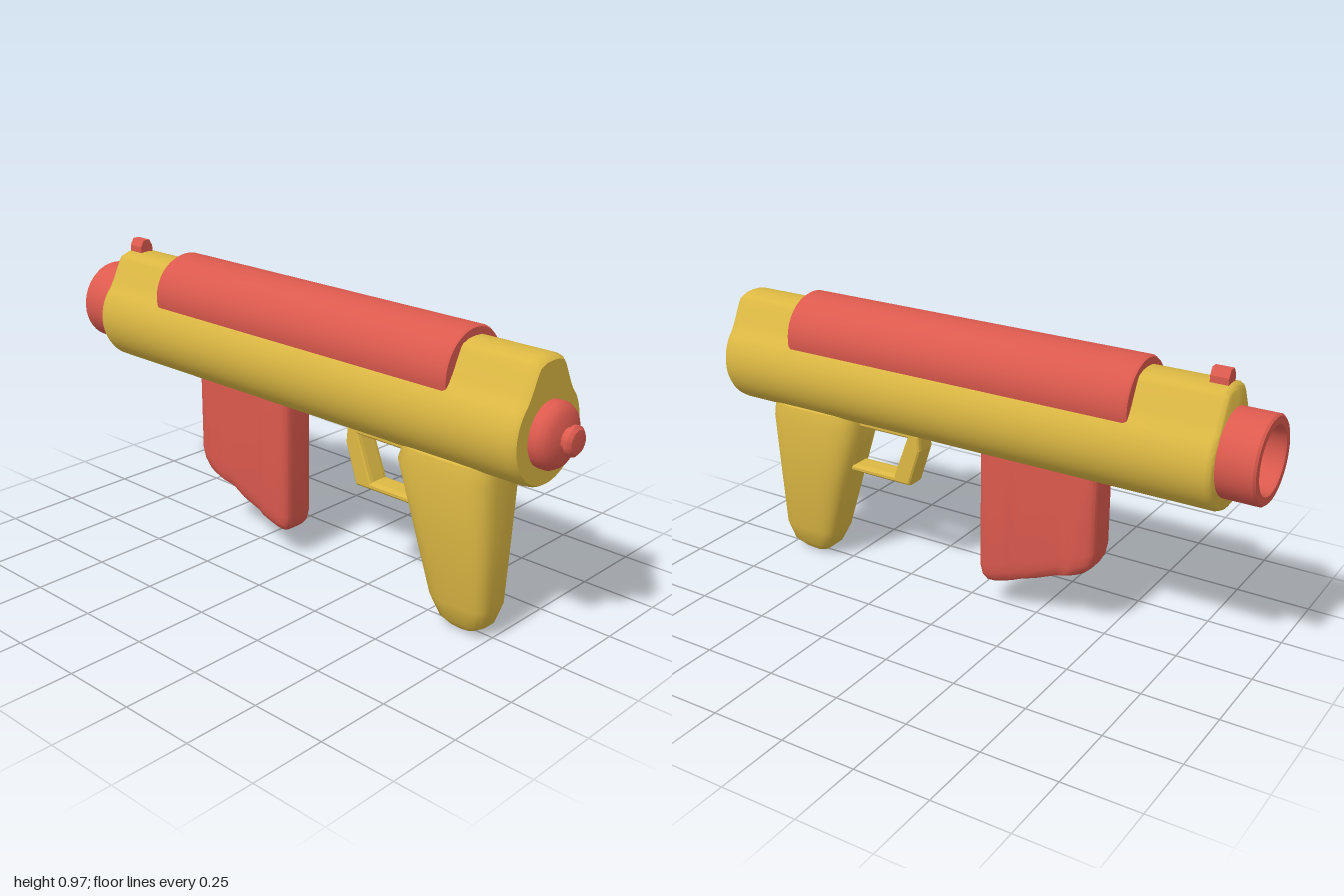
import * as THREE from 'three';
import { toCreasedNormals } from 'three/addons/utils/BufferGeometryUtils.js';

const yellow = new THREE.MeshStandardMaterial({ color: 0xdcb843 });
const red = new THREE.MeshStandardMaterial({ color: 0xdd5a4e });

// Joins closed rings of [x, y, z] points into a capped solid, facing outwards.
function loft(rings, crease = 0.7) {
  const n = rings[0].length;
  const pos = rings.flat(2);
  const index = [];
  for (let r = 0; r < rings.length - 1; r++) {
    for (let i = 0; i < n; i++) {
      const a = r * n + i, b = r * n + (i + 1) % n;
      index.push(a, b, b + n, a, b + n, a + n);
    }
  }
  [0, rings.length - 1].forEach((r, end) => {
    const c = pos.length / 3;
    for (let k = 0; k < 3; k++) pos.push(rings[r].reduce((s, p) => s + p[k], 0) / n);
    for (let i = 0; i < n; i++) {
      const a = r * n + i, b = r * n + (i + 1) % n;
      index.push(...(end ? [a, b, c] : [b, a, c]));
    }
  });
  // Flip the winding when the enclosed volume is negative
  const at = (i) => new THREE.Vector3().fromArray(pos, i * 3);
  let volume = 0;
  for (let i = 0; i < index.length; i += 3) {
    volume += at(index[i]).dot(at(index[i + 1]).cross(at(index[i + 2])));
  }
  if (volume < 0) index.reverse();
  const geo = new THREE.BufferGeometry();
  geo.setAttribute('position', new THREE.Float32BufferAttribute(pos, 3));
  geo.setIndex(index);
  return toCreasedNormals(geo, crease);
}

// Sweeps a [z, y] section along x; each station is [x, scale] about height cy.
const sweepX = (section, stations, cy, crease) => loft(
  stations.map(([x, s]) => section.map(([z, y]) => [x, cy + (y - cy) * s, z * s])), crease);

// Unit rounded rectangle as [u, v] points
function superellipse(n, power) {
  return Array.from({ length: n }, (_, i) => {
    const a = (i / n) * Math.PI * 2;
    const f = (c) => Math.sign(c) * Math.abs(c) ** (2 / power);
    return [f(Math.cos(a)), f(Math.sin(a))];
  });
}

export function createModel() {
  const model = new THREE.Group();
  const add = (name, geo, material) => {
    const mesh = new THREE.Mesh(geo, material);
    mesh.name = name;
    model.add(mesh);
    return mesh;
  };

  // Body: round tube with a tapering hump on top
  const bodySection = [];
  for (let i = 0; i <= 40; i++) {
    const a = THREE.MathUtils.degToRad(145 + (i / 40) * 250);
    bodySection.push([0.16 * Math.cos(a), 0.7 + 0.16 * Math.sin(a)]);
  }
  const hump = [[0.115, 0.81], [0.1, 0.835], [0.068, 0.9], [0.058, 0.914], [0.03, 0.924]];
  bodySection.push(...hump, [0, 0.926], ...hump.map(([z, y]) => [-z, y]).reverse());
  add('body', sweepX(bodySection, [[-0.88, 0.93], [-0.876, 0.965], [-0.862, 1],
    [0.87, 1], [0.89, 0.98], [0.9, 0.94]], 0.7), yellow);

  // Top cover: part-cylinder shell over the hump
  const coverSection = [];
  for (let i = 0; i <= 36; i++) {
    const a = THREE.MathUtils.degToRad(-13 + (i / 36) * 206);
    coverSection.push([0.135 * Math.cos(a), 0.821 + 0.135 * Math.sin(a)]);
  }
  add('topCover', sweepX(coverSection, [[-0.602, 0.96], [-0.592, 1], [0.627, 1], [0.637, 0.96]], 0.8, 0.6), red);

  // Muzzle: hollow ring, lathed and laid along x
  const lathe = (points) => toCreasedNormals(
    new THREE.LatheGeometry(points.map(([r, h]) => new THREE.Vector2(r, h)), 40).rotateZ(-Math.PI / 2), 0.6);
  const muzzle = add('muzzle', lathe([[0, -0.8], [0.1, -0.8], [0.1, -0.99], [0.106, -1], [0.13, -1],
    [0.136, -0.993], [0.136, -0.85]].reverse()), red);
  muzzle.material = red.clone();
  muzzle.material.side = THREE.DoubleSide;
  muzzle.position.y = 0.72;

  // Rear knob: stepped dome
  const knob = add('rearKnob', lathe([[0, 0.87], [0.1, 0.87], [0.1, 0.925], [0.09, 0.943], [0.07, 0.955],
    [0.035, 0.962], [0.035, 0.972], [0.045, 0.976], [0.045, 0.988], [0.035, 0.997], [0, 1]]), red);
  knob.position.y = 0.7;

  // Front sight
  const sightSection = [[-0.025, 0.9], [0.025, 0.9], [0.025, 0.945], [0.012, 0.967], [-0.012, 0.967], [-0.025, 0.945]];
  add('frontSight', sweepX(sightSection, [[-0.86, 1], [-0.803, 1]], 0.92, 0.3), red);

  // Grip: rounded sections [y, rear x, front x, half depth], narrowing downwards
  const gripSection = superellipse(40, 3.6);
  add('grip', loft([
    [0.58, 0.45, 0.755, 0.085], [0.57, 0.428, 0.768, 0.104], [0.52, 0.415, 0.77, 0.115],
    [0.31, 0.475, 0.764, 0.095], [0.1, 0.535, 0.757, 0.075], [0.035, 0.568, 0.735, 0.056],
    [0.01, 0.598, 0.697, 0.035], [0, 0.62, 0.665, 0.022],
  ].map(([y, x0, x1, d]) => gripSection.map(([u, v]) => [(x0 + x1) / 2 + u * (x1 - x0) / 2, y, v * d])), 0.8), yellow);

  // Trigger guard: bevelled frame with an opening
  const points = (list) => list.map(([x, y]) => new THREE.Vector2(x, y));
  const guard = new THREE.Shape(points([[0.21, 0.55], [0.47, 0.55], [0.5, 0.363], [0.23, 0.363], [0.188, 0.49], [0.192, 0.535]]));
  guard.holes.push(new THREE.Path(points([[0.222, 0.533], [0.282, 0.372], [0.462, 0.372], [0.422, 0.533]])));
  add('triggerGuard', new THREE.ExtrudeGeometry(guard, {
    depth: 0.05, bevelThickness: 0.015, bevelSize: 0.008, bevelSegments: 2, curveSegments: 1,
  }).translate(0, 0, -0.025), yellow);

  // Magazine: fluted sides and a slanted, rounded bottom
  const magSection = superellipse(120, 6).map(([u, v]) => {
    const x = -0.27 + 0.21 * u;
    const flute = x > -0.42 && x < -0.16 ? 0.009 * (1 - Math.cos((x + 0.42) / 0.13 * Math.PI * 2)) : 0;
    return [x, v * (0.071 - flute)];
  });
  const slant = (x) => 0.21 - (x + 0.42) * 0.367;
  const magRing = (s, zs, yAt) => magSection.map(([x, z]) => {
    const px = -0.27 + (x + 0.27) * s;
    return [px, yAt(px), z * zs];
  });
  add('magazine', loft([
    magRing(1, 1, () => 0.6),
    ...[[1, 1, 0.07], [0.97, 0.93, 0.035], [0.9, 0.82, 0.012], [0.8, 0.65, 0]]
      .map(([s, zs, up]) => magRing(s, zs, (x) => slant(x) + up)),
  ], 0.8), red);

  return model;
}
